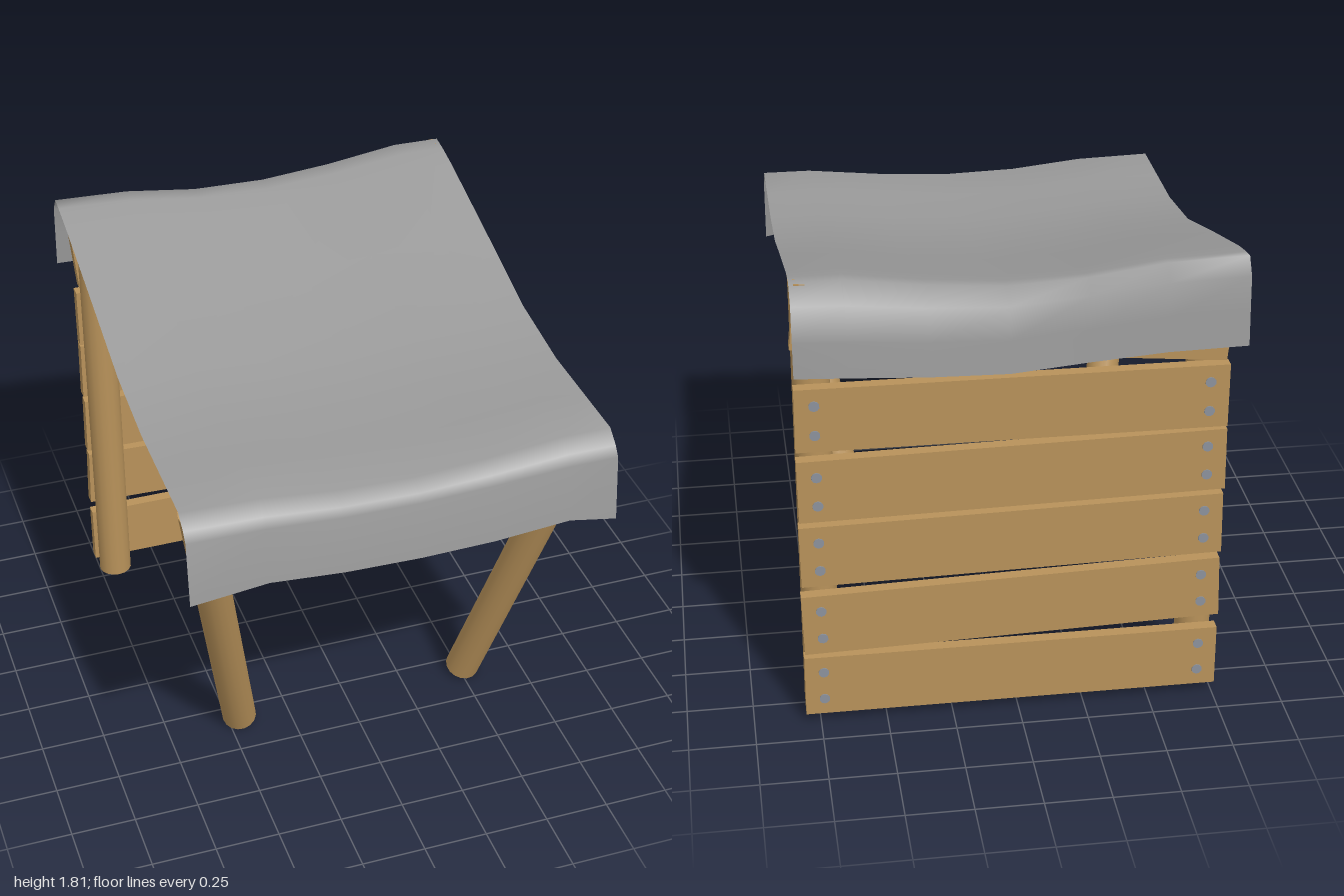
import * as THREE from 'three';

const wood = new THREE.MeshStandardMaterial({ color: 0xb8925a });
wood.name = 'wood';
const cloth = new THREE.MeshStandardMaterial({ color: 0x9a9a9a, side: THREE.DoubleSide });
cloth.name = 'grey cloth';
const metal = new THREE.MeshStandardMaterial({ color: 0x8c929c });
metal.name = 'nail metal';

// Round pole between two end points
function pole(name, from, to) {
  const a = new THREE.Vector3(...from), b = new THREE.Vector3(...to);
  const dir = b.clone().sub(a);
  const mesh = new THREE.Mesh(new THREE.CylinderGeometry(0.068, 0.068, dir.length(), 16), wood);
  mesh.name = name;
  mesh.position.copy(a).add(b).multiplyScalar(0.5);
  mesh.quaternion.setFromUnitVectors(new THREE.Vector3(0, 1, 0), dir.normalize());
  return mesh;
}

// Wall plank with two nails at each end, given the centre height and depth of its ends
function plank(yRight, yLeft, zRight, zLeft) {
  const length = 1.565, thick = 0.046;
  const group = new THREE.Group();
  group.name = 'wallPlank';
  const board = new THREE.Mesh(new THREE.BoxGeometry(length, 0.248, thick), wood);
  board.name = 'board';
  group.add(board);
  for (const x of [-0.712, 0.712]) {
    for (const y of [-0.058, 0.058]) {
      const nail = new THREE.Mesh(new THREE.CylinderGeometry(0.02, 0.02, 0.006, 10), metal);
      nail.name = 'nail';
      nail.rotation.x = Math.PI / 2;
      nail.position.set(x, y, -thick / 2 - 0.001);
      group.add(nail);
    }
  }
  group.position.set(0.022, (yRight + yLeft) / 2, (zRight + zLeft) / 2);
  group.rotation.set(0, -Math.atan((zLeft - zRight) / length), Math.atan((yLeft - yRight) / length));
  return group;
}

// Draped sheet: a front-to-back profile that sags between the poles
function canopy() {
  const xs = [-0.81, -0.52, -0.24, 0.05, 0.33, 0.62, 0.805];
  const sag = [0, 0.01, 0.045, 0.055, 0.035, 0, 0];
  const frontHem = [1.197, 1.23, 1.207, 1.2, 1.206, 1.23, 1.195];
  const backShift = [0.062, 0.062, 0.062, 0.022, 0.01, 0, 0.018];
  // z, y, share of the sag, share of the backward shift
  const rows = [
    [1.0, null, 0, 0], [0.972, 1.45, 0.5, 0], [0.945, 1.485, 0.7, 0], [0.89, 1.527, 0.85, 0],
    [0.65, 1.525, 0.8, 0], [0.4, 1.523, 0.75, 0], [0.07, 1.563, 0.95, 0], [-0.35, 1.682, 1.1, 0],
    [-0.72, 1.782, 1.15, 0], [-0.82, 1.803, 1.1, 0], [-0.89, 1.812, 1.1, 0.2],
    [-0.972, 1.75, 0.9, 0.85], [-0.99, 1.62, 0.7, 1], [-1.0, 1.49, 0.6, 1],
  ];
  const positions = [], index = [], n = xs.length;
  rows.forEach(([z, y, s, b], r) => {
    xs.forEach((x, c) => {
      positions.push(x, y === null ? frontHem[c] : y - s * sag[c], z + b * backShift[c]);
      if (r > 0 && c > 0) {
        const d = r * n + c, a = d - n - 1;
        index.push(a, a + 1, d, a, d, d - 1);
      }
    });
  });
  const geometry = new THREE.BufferGeometry();
  geometry.setAttribute('position', new THREE.Float32BufferAttribute(positions, 3));
  geometry.setIndex(index);
  geometry.computeVertexNormals();
  const mesh = new THREE.Mesh(geometry, cloth);
  mesh.name = 'clothCanopy';
  return mesh;
}

export function createModel() {
  const model = new THREE.Group();
  model.name = 'lean-to shelter';

  // Upright back posts and slanted front poles
  model.add(
    pole('backPostRight', [-0.69, 0.03, -0.77], [-0.69, 1.77, -0.77]),
    pole('backPostLeft', [0.735, 0.03, -0.77], [0.735, 1.77, -0.77]),
    pole('frontPoleRight', [-0.455, 0.025, 0.328], [-0.733, 1.478, 0.845]),
    pole('frontPoleLeft', [0.51, 0.025, 0.328], [0.72, 1.478, 0.845]),
  );

  // Crooked back wall, bottom to top
  const planks = [
    [0.16, 0.16, -0.862, -0.862],
    [0.467, 0.425, -0.862, -0.862],
    [0.74, 0.718, -0.859, -0.864],
    [1.012, 0.995, -0.865, -0.877],
    [1.27, 1.275, -0.862, -0.864],
    [1.535, 1.685, -0.862, -0.875],
  ];
  for (const p of planks) model.add(plank(...p));

  model.add(canopy());
  return model;
}
